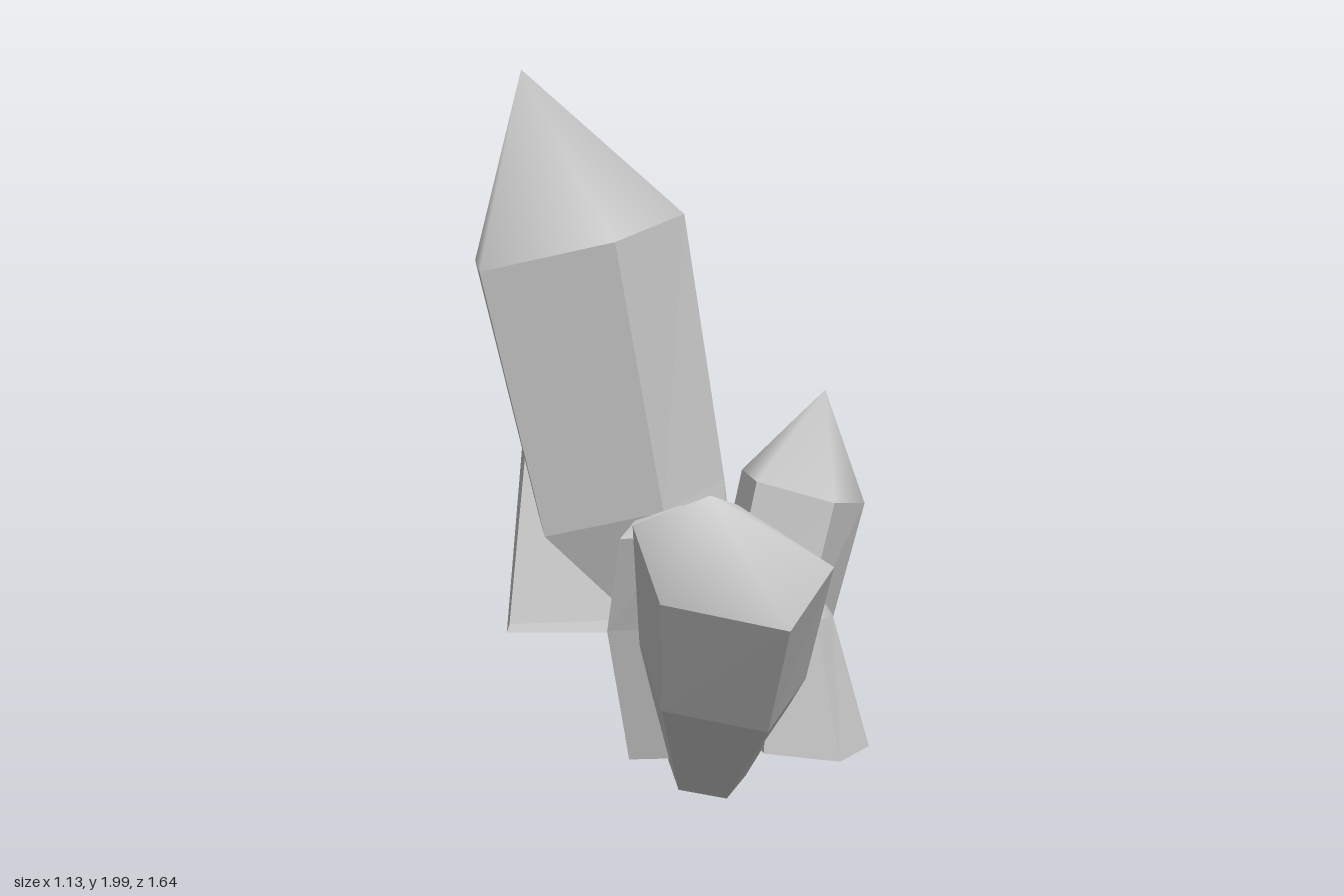
import * as THREE from 'three';
import { mergeVertices } from 'three/addons/utils/BufferGeometryUtils.js';

const SIDES = 5;
const material = new THREE.MeshStandardMaterial({ color: 0xcccccc, side: THREE.DoubleSide });
const flatMaterial = new THREE.MeshStandardMaterial({ color: 0xcccccc, flatShading: true, side: THREE.DoubleSide });

// Pentagon ring [x, y, z, radiusX, radiusZ], sheared by the slope so its plane tilts with the crystal
function ringPoints([x, y, z, rx = 0, rz = 0], spin, [sx, sz]) {
  return Array.from({ length: SIDES }, (_, i) => {
    const a = spin + (i / SIDES) * Math.PI * 2;
    const dx = rx * Math.cos(a), dz = rz * Math.sin(a);
    return [x + dx, y + dx * sx + dz * sz, z + dz];
  });
}

// Skin through rings listed from bottom to top; a last ring without radii closes to an apex
function loft(rings, spin, slope) {
  const loops = rings.map((r) => ringPoints(r, spin, slope));
  const pos = [];
  for (let k = 0; k < loops.length - 1; k++) {
    for (let i = 0; i < SIDES; i++) {
      const j = (i + 1) % SIDES;
      const [a, b] = [loops[k][i], loops[k][j]];
      const [c, d] = [loops[k + 1][i], loops[k + 1][j]];
      pos.push(...a, ...c, ...b);
      if (rings[k + 1].length > 3) pos.push(...b, ...c, ...d);
    }
  }
  const g = new THREE.BufferGeometry();
  g.setAttribute('position', new THREE.Float32BufferAttribute(pos, 3));
  return g;
}

// One crystal: faceted shaft with an open base, and a smooth-shaded point
function crystal({ name, spin = 0, slope, shaft, point }) {
  const group = new THREE.Group();
  group.name = name;

  const sides = loft(shaft, spin, slope);
  sides.computeVertexNormals();
  const body = new THREE.Mesh(sides, flatMaterial);
  body.name = name + 'Shaft';

  const cap = mergeVertices(loft([shaft[shaft.length - 1], ...point], spin, slope));
  cap.computeVertexNormals();
  const tip = new THREE.Mesh(cap, material);
  tip.name = name + 'Point';

  group.add(body, tip);
  return group;
}

const CRYSTALS = [
  {
    name: 'tallCrystal', spin: 0.05, slope: [0.24, 0],
    shaft: [[0.1, 0.33, -0.05, 0.1, 0.13], [-0.15, 0.775, -0.045, 0.29, 0.23], [-0.3, 1.525, -0.03, 0.32, 0.28]],
    point: [[-0.43, 2, -0.05]],
  },
  {
    name: 'backCrystal', spin: 0.04, slope: [-0.03, 0.356],
    shaft: [[-0.15, 0.335, -0.38, 0.37, 0.21], [-0.13, 1.045, -0.594, 0.275, 0.24]],
    point: [[-0.17, 1.35, -0.69, 0.12, 0.095], [-0.17, 1.4, -0.72]],
  },
  {
    name: 'leftCrystal', slope: [-0.27, 0],
    shaft: [[0.22, 0.13, -0.06, 0.22, 0.235], [0.285, 0.45, -0.05, 0.18, 0.18], [0.37, 0.805, -0.05, 0.19, 0.17]],
    point: [[0.44, 1.09, -0.055]],
  },
  {
    name: 'frontCrystal', spin: -0.07, slope: [-0.1, -0.5],
    shaft: [[0.036, 0.05, 0.23, 0.115, 0.085], [0.04, 0.38, 0.41, 0.24, 0.2], [0.03, 0.73, 0.592, 0.28, 0.245]],
    point: [[-0.07, 0.96, 0.815]],
  },
  {
    name: 'smallFrontCrystal', slope: [-0.08, 0],
    shaft: [[0.32, 0.13, 0.25, 0.18, 0.165], [0.29, 0.51, 0.25, 0.1, 0.1]],
    point: [[0.28, 0.66, 0.275]],
  },
  {
    name: 'smallBackCrystal', spin: -0.5, slope: [-0.4, -0.25],
    shaft: [[0.2, 0.14, -0.34, 0.08, 0.07], [0.236, 0.39, -0.366, 0.1, 0.118]],
    point: [[0.23, 0.5, -0.4, 0.045, 0.055], [0.235, 0.54, -0.37]],
  },
  {
    name: 'smallRightCrystal', spin: 0.35, slope: [0.2, -0.1],
    shaft: [[-0.04, 0.125, 0.16, 0.14, 0.1], [-0.05, 0.52, 0.2, 0.2, 0.13], [-0.075, 0.785, 0.29, 0.15, 0.11]],
    point: [[-0.05, 0.83, 0.28]],
  },
];

export function createModel() {
  const model = new THREE.Group();
  model.name = 'crystalCluster';
  CRYSTALS.forEach((spec) => model.add(crystal(spec)));
  return model;
}
